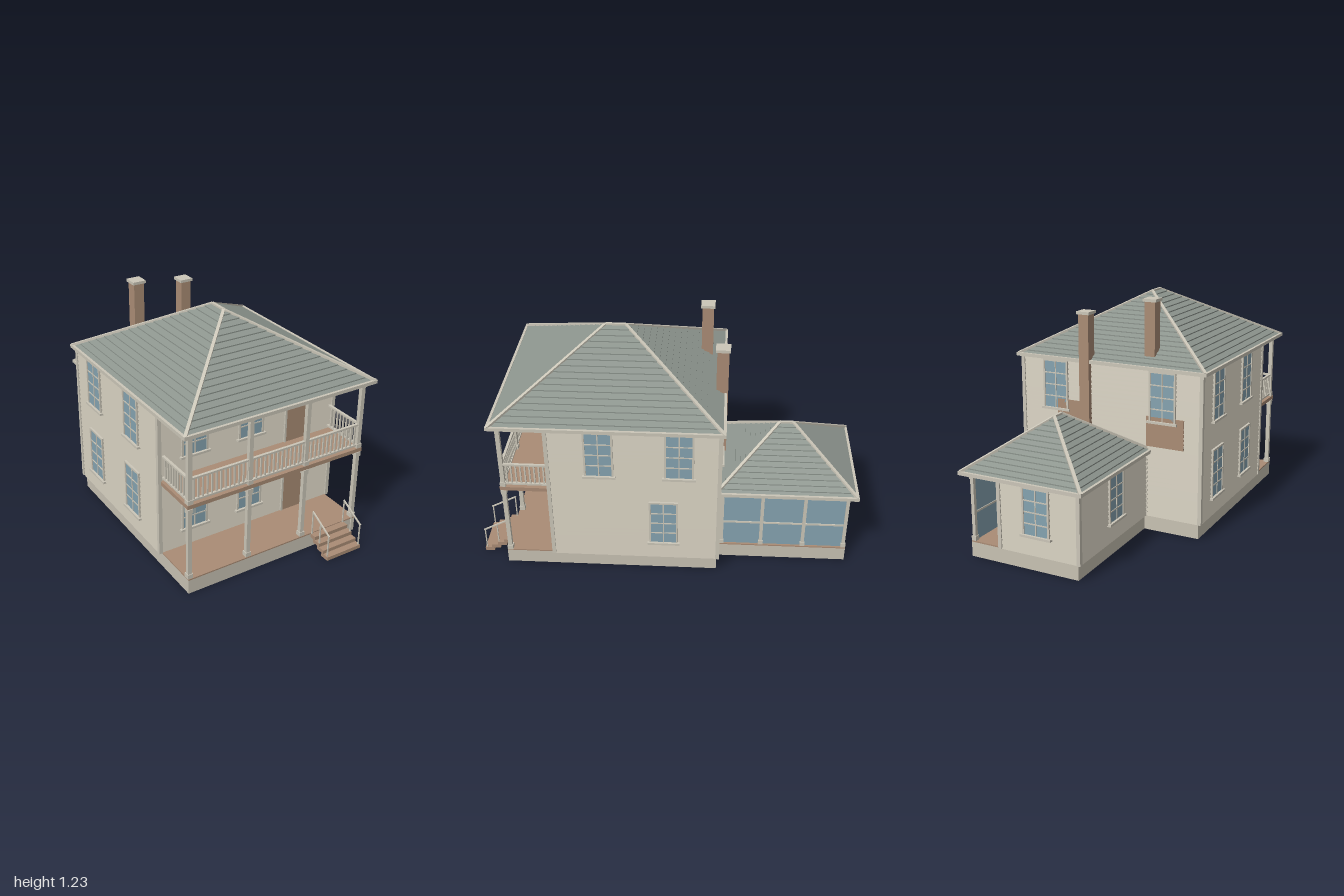
import * as THREE from 'three';

const mat = (name, color) => {
  const m = new THREE.MeshStandardMaterial({ color });
  m.name = name;
  return m;
};

export function createModel() {
  const house = new THREE.Group();
  house.name = 'house';
  const siding = mat('siding cream', 0xc8c2b3);
  const trim = mat('trim cream', 0xcbc6b8);
  const roofGrey = mat('roof grey green', 0x8d958e);
  const wood = mat('wood brown', 0xaa8c75);
  const glass = mat('glass blue', 0x85a3b0);

  const add = (name, geo, material, parent = house) => {
    const m = new THREE.Mesh(geo, material);
    m.name = name;
    parent.add(m);
    return m;
  };
  // Box given by its limits on each axis
  const box = (name, material, x0, x1, y0, y1, z0, z1, parent) => {
    const g = new THREE.BoxGeometry(x1 - x0, y1 - y0, z1 - z0);
    g.translate((x0 + x1) / 2, (y0 + y1) / 2, (z0 + z1) / 2);
    return add(name, g, material, parent);
  };
  // Square bar between two points
  const bar = (name, material, a, b, w, h = w) => {
    const p = new THREE.Vector3(...a), q = new THREE.Vector3(...b);
    const m = add(name, new THREE.BoxGeometry(w, h, p.distanceTo(q)), material);
    m.position.copy(p).lerp(q, 0.5);
    m.lookAt(q);
    return m;
  };
  // Closed skin over stacked rectangles [x0, x1, z0, z1, y]
  const loft = (rings) => {
    const pos = [];
    const ab = new THREE.Vector3(), ac = new THREE.Vector3();
    const tri = (a, b, c) => {
      ab.subVectors(b, a);
      ac.subVectors(c, a);
      if (ab.cross(ac).length() > 1e-9) for (const v of [a, b, c]) pos.push(v.x, v.y, v.z);
    };
    const loops = rings.map(([x0, x1, z0, z1, y]) =>
      [[x0, z1], [x1, z1], [x1, z0], [x0, z0]].map(([x, z]) => new THREE.Vector3(x, y, z)));
    for (let i = 0; i + 1 < loops.length; i++) {
      for (let k = 0; k < 4; k++) {
        const n = (k + 1) % 4, lo = loops[i], hi = loops[i + 1];
        tri(lo[k], lo[n], hi[n]);
        tri(lo[k], hi[n], hi[k]);
      }
    }
    const b = loops[0], t = loops[loops.length - 1];
    tri(b[2], b[1], b[0]); tri(b[3], b[2], b[0]);
    tri(t[0], t[1], t[2]); tri(t[0], t[2], t[3]);
    const g = new THREE.BufferGeometry();
    g.setAttribute('position', new THREE.Float32BufferAttribute(pos, 3));
    g.computeVertexNormals();
    return g;
  };

  // Walls of overlapping boards with corner trim
  const walls = (name, x0, x1, z0, z1, y0, y1, n) => {
    const rings = [], lap = 0.007;
    for (let i = 0; i < n; i++) {
      const a = y0 + (y1 - y0) * i / n, b = y0 + (y1 - y0) * (i + 1) / n;
      rings.push([x0 - lap, x1 + lap, z0 - lap, z1 + lap, a], [x0, x1, z0, z1, b]);
    }
    add(name, loft(rings), siding);
    for (const x of [x0, x1]) for (const z of [z0, z1])
      box('cornerBoard', trim, x - 0.01, x + 0.01, y0, y1, z - 0.01, z + 0.01);
  };

  // Hip roof in stepped courses, with eave boards and hip caps
  const hipRoof = (name, x0, x1, z0, z1, y0, y1, rz0, rz1, n) => {
    const rx = (x0 + x1) / 2, L = THREE.MathUtils.lerp, rings = [], e = 0.006;
    const ring = (t, lift) => [L(x0 + e, rx, t), L(x1 - e, rx, t),
      L(z0 + e, rz0, t), L(z1 - e, rz1, t), L(y0, y1, t) + lift];
    for (let i = 0; i < n; i++) rings.push(ring(i / n, 0), ring(i / n, 0.006));
    rings.push(ring(1, 0));
    add(name, loft(rings), roofGrey);
    for (const x of [x0, x1]) {
      const s = x === x0 ? 1 : -1;
      box('eaveBoard', trim, Math.min(x, x + s * 0.014), Math.max(x, x + s * 0.014),
        y0 - 0.006, y0 + 0.012, z0, z1);
      bar('hipCap', trim, [x + s * 0.006, y0 + 0.008, z0 + 0.006], [rx, y1, rz0], 0.016, 0.012);
      bar('hipCap', trim, [x + s * 0.006, y0 + 0.008, z1 - 0.006], [rx, y1, rz1], 0.016, 0.012);
    }
    box('eaveBoard', trim, x0, x1, y0 - 0.006, y0 + 0.012, z0, z0 + 0.014);
    box('eaveBoard', trim, x0, x1, y0 - 0.006, y0 + 0.012, z1 - 0.014, z1);
    bar('ridgeCap', trim, [rx, y1, rz0], [rx, y1, rz1], 0.016, 0.012);
  };

  // Group fixed to a wall, its outside along local +z
  const mount = (name, x, y, z, turn) => {
    const g = new THREE.Group();
    g.name = name;
    g.position.set(x, y, z);
    g.rotation.y = turn;
    house.add(g);
    return g;
  };
  const frame = (g, w, h, t, d, sill) => {
    box('frameLeft', trim, -w / 2, -w / 2 + t, 0, h, 0, d, g);
    box('frameRight', trim, w / 2 - t, w / 2, 0, h, 0, d, g);
    box('frameTop', trim, -w / 2, w / 2, h - t, h, 0, d, g);
    if (sill) box('sill', trim, -w / 2 - 0.01, w / 2 + 0.01, -0.003, 0.009, 0, d + 0.008, g);
  };
  const addWindow = (x, y, z, turn, h = 0.272) => {
    const g = mount('window', x, y, z, turn), w = 0.15;
    frame(g, w, h, 0.01, 0.014, true);
    box('glass', glass, -w / 2 + 0.008, w / 2 - 0.008, 0.006, h - 0.006, 0.002, 0.009, g);
    box('muntin', trim, -0.003, 0.003, 0.008, h - 0.008, 0.004, 0.012, g);
    for (let i = 1; i < 4; i++) {
      const my = 0.009 + (h - 0.019) * i / 4;
      box('muntin', trim, -w / 2 + 0.008, w / 2 - 0.008, my - 0.003, my + 0.003, 0.004, 0.012, g);
    }
  };
  const addDoor = (x, y, z) => {
    const g = mount('door', x, y, z, 0);
    frame(g, 0.15, 0.325, 0.011, 0.014, false);
    box('doorLeaf', wood, -0.066, 0.066, 0, 0.316, 0.002, 0.01, g);
  };

  // Foundations and floors
  box('mainFoundation', siding, -0.515, 0.515, 0, 0.077, -0.27, 0.855);
  box('mainFloor', wood, -0.515, 0.515, 0.077, 0.084, -0.27, 0.855);
  box('wingFoundation', siding, -0.205, 0.405, 0, 0.077, -0.965, -0.27);
  box('wingFloor', wood, -0.205, 0.405, 0.077, 0.084, -0.965, -0.27);

  // Main block and rear wing
  walls('mainWalls', -0.525, 0.525, -0.275, 0.597, 0.082, 0.882, 32);
  walls('wingWalls', -0.215, 0.225, -0.972, -0.27, 0.082, 0.44, 14);
  hipRoof('mainRoof', -0.555, 0.555, -0.3, 0.885, 0.88, 1.192, 0.235, 0.34, 17);
  hipRoof('wingRoof', -0.245, 0.445, -1, -0.25, 0.437, 0.683, -0.66, -0.59, 13);

  // Windows and doors
  const front = 0.597, side = 0.525, back = -0.275, H = Math.PI / 2;
  for (const y of [0.179, 0.6]) {
    for (const x of [-0.328, 0.001]) addWindow(x, y, front, 0);
    for (const z of [-0.07, 0.335]) addWindow(-side, y, z, -H);
  }
  addDoor(0.285, 0.082, front);
  addDoor(0.285, 0.505, front);
  for (const z of [-0.07, 0.335]) addWindow(side, 0.6, z, H);
  addWindow(side, 0.179, 0.01, H);
  for (const x of [-0.31, 0.32]) addWindow(x, 0.6, back, Math.PI);
  addWindow(0.015, 0.179, -0.972, Math.PI, 0.25);
  addWindow(-0.215, 0.179, -0.62, -H, 0.25);
  box('backPanel', wood, -0.43, -0.22, 0.47, 0.63, -0.284, -0.276);
  box('backPanel', wood, 0.12, 0.31, 0.49, 0.66, -0.284, -0.276);

  // Posts with square bases and capitals
  const post = (x, z, y0, y1, w = 0.022) => {
    box('post', trim, x - w / 2, x + w / 2, y0, y1, z - w / 2, z + w / 2);
    const c = w / 2 + 0.004;
    box('postBase', trim, x - c, x + c, y0, y0 + 0.024, z - c, z + c);
    box('postCapital', trim, x - c, x + c, y1 - 0.03, y1 - 0.006, z - c, z + c);
  };
  for (const x of [-0.503, -0.166, 0.168, 0.503]) {
    post(x, 0.838, 0.084, 0.486);
    post(x, 0.838, 0.505, 0.88);
  }

  // Balcony deck and railing
  box('balconyDeck', wood, -0.52, 0.52, 0.485, 0.506, 0.6, 0.855);
  for (const y of [0.52, 0.638]) {
    box('balconyRail', trim, -0.503, 0.503, y - 0.005, y + 0.005, 0.831, 0.845);
    for (const x of [-0.503, 0.503])
      box('balconySideRail', trim, x - 0.007, x + 0.007, y - 0.005, y + 0.005, 0.6, 0.838);
  }
  const baluster = (x, z) =>
    box('baluster', trim, x - 0.004, x + 0.004, 0.52, 0.638, z - 0.004, z + 0.004);
  for (let i = 1; i < 40; i++) baluster(-0.503 + 1.006 * i / 40, 0.838);
  for (let i = 1; i < 10; i++) for (const x of [-0.503, 0.503]) baluster(x, 0.6 + 0.0238 * i);

  // Front steps with slim handrails
  for (let i = 0; i < 4; i++) {
    const z = 1 - 0.036 * i;
    box('step', wood, 0.222, 0.437, 0.02 * i, 0.02 * (i + 1), z - 0.05, z);
  }
  for (const x of [0.228, 0.431]) {
    bar('handrail', trim, [x, 0.14, 0.995], [x, 0.215, 0.855], 0.007);
    box('handrailPost', trim, x - 0.003, x + 0.003, 0.015, 0.142, 0.987, 0.993);
    box('handrailPost', trim, x - 0.003, x + 0.003, 0.05, 0.18, 0.919, 0.925);
    box('handrailPost', trim, x - 0.003, x + 0.003, 0.08, 0.217, 0.856, 0.862);
  }

  // Screened side porch of the wing, open at the rear
  box('porchScreen', glass, 0.389, 0.394, 0.084, 0.432, -0.95, -0.282);
  box('porchMidRail', trim, 0.385, 0.399, 0.225, 0.235, -0.95, -0.282);
  box('porchTopBeam', trim, 0.382, 0.402, 0.425, 0.44, -0.96, -0.282);
  for (const z of [-0.295, -0.507, -0.732, -0.952]) post(0.392, z, 0.084, 0.437, 0.018);

  // Chimneys
  const chimney = (x, z, y0, y1) => {
    box('chimney', wood, x - 0.029, x + 0.029, y0, y1 - 0.015, z - 0.031, z + 0.031);
    box('chimneyCap', trim, x - 0.037, x + 0.037, y1 - 0.015, y1, z - 0.038, z + 0.038);
  };
  chimney(-0.206, -0.188, 0.88, 1.225);
  chimney(0.134, -0.274, 0.53, 1.147);

  return house;
}
